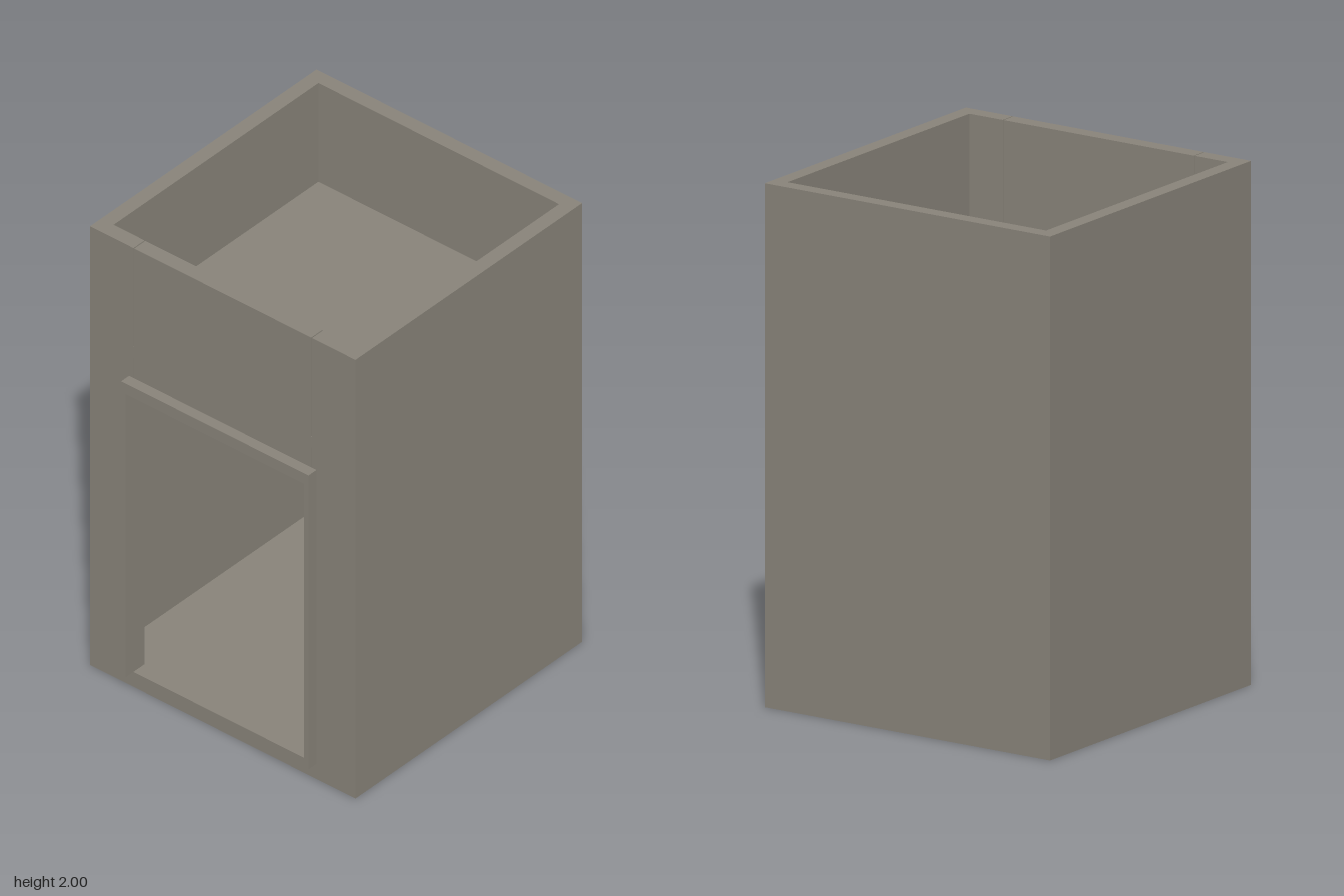
import * as THREE from 'three';

export function createModel() {
  const model = new THREE.Group();
  model.name = 'shaft';
  const stone = new THREE.MeshStandardMaterial({ color: 0x89847a });
  stone.name = 'warm grey stone';

  // Box given by its limits on each axis
  function slab(name, x0, x1, y0, y1, z0, z1) {
    const mesh = new THREE.Mesh(new THREE.BoxGeometry(x1 - x0, y1 - y0, z1 - z0), stone);
    mesh.position.set((x0 + x1) / 2, (y0 + y1) / 2, (z0 + z1) / 2);
    mesh.name = name;
    model.add(mesh);
  }

  const X = 0.642, XI = 0.582;          // outer and inner half width
  const BACK = -0.665, BACK_IN = -0.605;
  const FRONT = 0.62, FRONT_IN = 0.557, TRIM = 0.665;
  const BASE = 0.068, TOP = 2, DOOR = 0.432, DOOR_TOP = 1.36;
  const GAP = 0.004;                    // fine joint beside the upper panel

  // Base and upper floor
  slab('base', -X, X, 0, BASE, BACK, FRONT);
  slab('upperFloor', -XI, XI, 1.5, 1.55, BACK_IN, FRONT_IN);

  // Walls
  slab('backWall', -XI, XI, BASE, TOP, BACK, BACK_IN);
  slab('panelOverDoor', -DOOR + GAP, DOOR - GAP, DOOR_TOP, TOP, FRONT_IN, FRONT);
  for (const [side, s] of [['left', 1], ['right', -1]]) {
    const mirrored = (part, a, b, ...rest) =>
      slab(side + part, Math.min(s * a, s * b), Math.max(s * a, s * b), ...rest);
    mirrored('Wall', XI, X, BASE, TOP, BACK, FRONT);
    mirrored('FrontPanel', DOOR, XI, BASE, TOP, FRONT_IN, FRONT);
    mirrored('DoorPost', DOOR, 0.453, BASE, DOOR_TOP, FRONT, TRIM);
    // Floor edge that closes the joint
    mirrored('JointFill', DOOR - GAP, DOOR, 1.5, 1.55, FRONT_IN, FRONT);
  }

  // Door head trim
  slab('doorLintel', -0.453, 0.453, DOOR_TOP, 1.408, FRONT, TRIM);
  return model;
}
